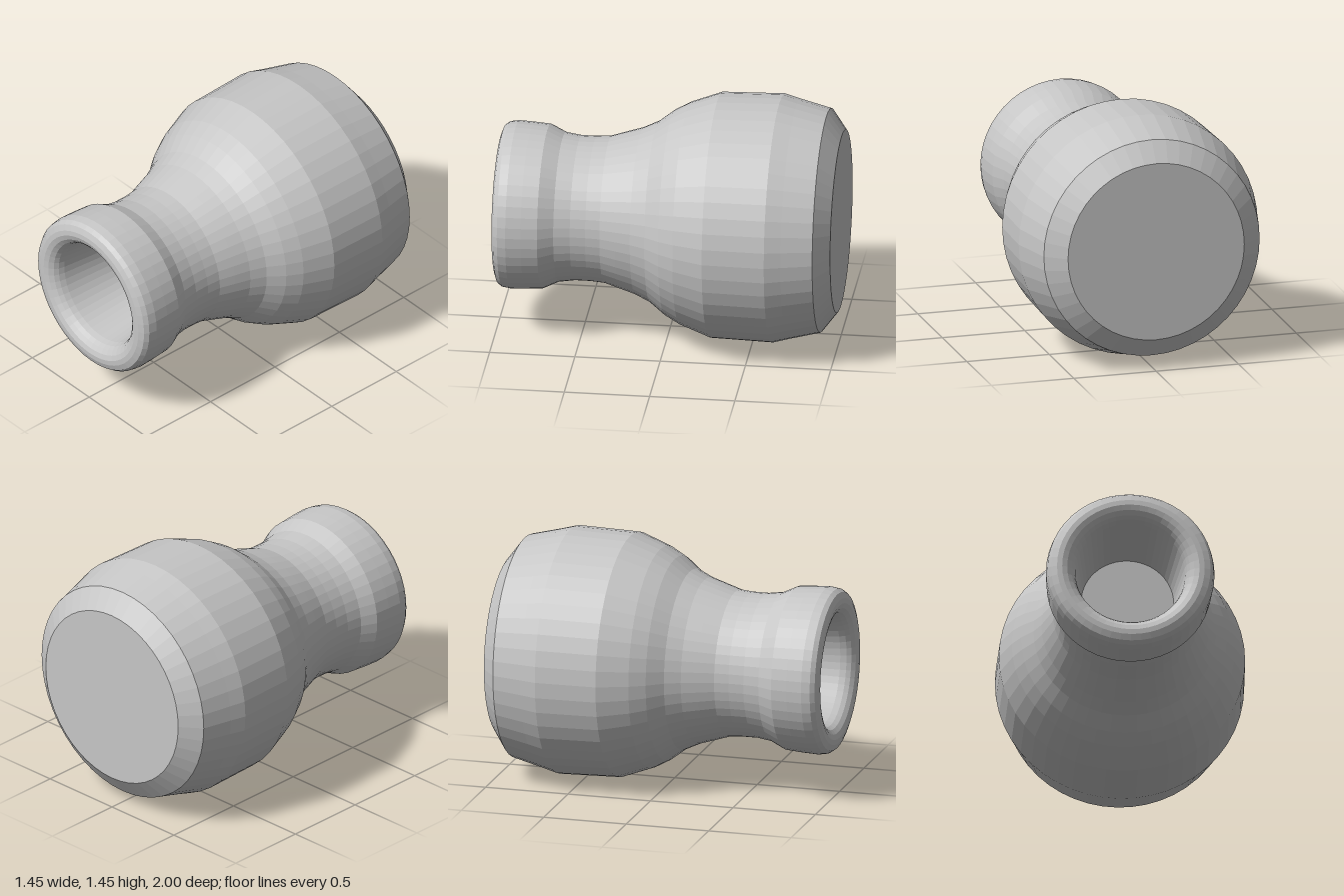
import * as THREE from 'three';

const SIDES = 48;
const RADIUS = 0.726;

export function createModel() {
  const group = new THREE.Group();
  group.name = 'turnedVessel';
  const grey = new THREE.MeshStandardMaterial({ color: 0xc6c6c6 });
  grey.flatShading = true;

  // Each part is turned around the z axis from [radius, z] points
  const turn = (name, profile) => {
    const points = profile.map(([r, z]) => new THREE.Vector2(r, z));
    const geometry = new THREE.LatheGeometry(points, SIDES);
    geometry.rotateX(Math.PI / 2);
    const mesh = new THREE.Mesh(geometry, grey);
    mesh.name = name;
    mesh.position.y = RADIUS;
    group.add(mesh);
  };

  // Flat back end with its bevel
  turn('base', [[0, -1], [0.535, -1], [0.655, -0.91]]);

  // Bulging body
  turn('body', [
    [0.655, -0.91], [0.7, -0.73], [RADIUS, -0.635], [0.717, -0.27],
    [0.65, -0.09], [0.6, 0], [0.53, 0.09],
  ]);

  // Narrow waist
  turn('neck', [
    [0.53, 0.09], [0.488, 0.18], [0.46, 0.27], [0.43, 0.365],
    [0.423, 0.45], [0.423, 0.54], [0.437, 0.635], [0.48, 0.725],
  ]);

  // Rounded mouth
  turn('rim', [
    [0.48, 0.725], [0.487, 0.82], [0.491, 0.91], [0.483, 0.96],
    [0.465, 0.985], [0.43, 0.998], [0.4, 1], [0.37, 0.99],
    [0.345, 0.97], [0.33, 0.945], [0.32, 0.91],
  ]);

  // Tapered recess and its floor
  turn('recess', [[0.32, 0.91], [0.27, 0.5], [0, 0.5]]);

  return group;
}
